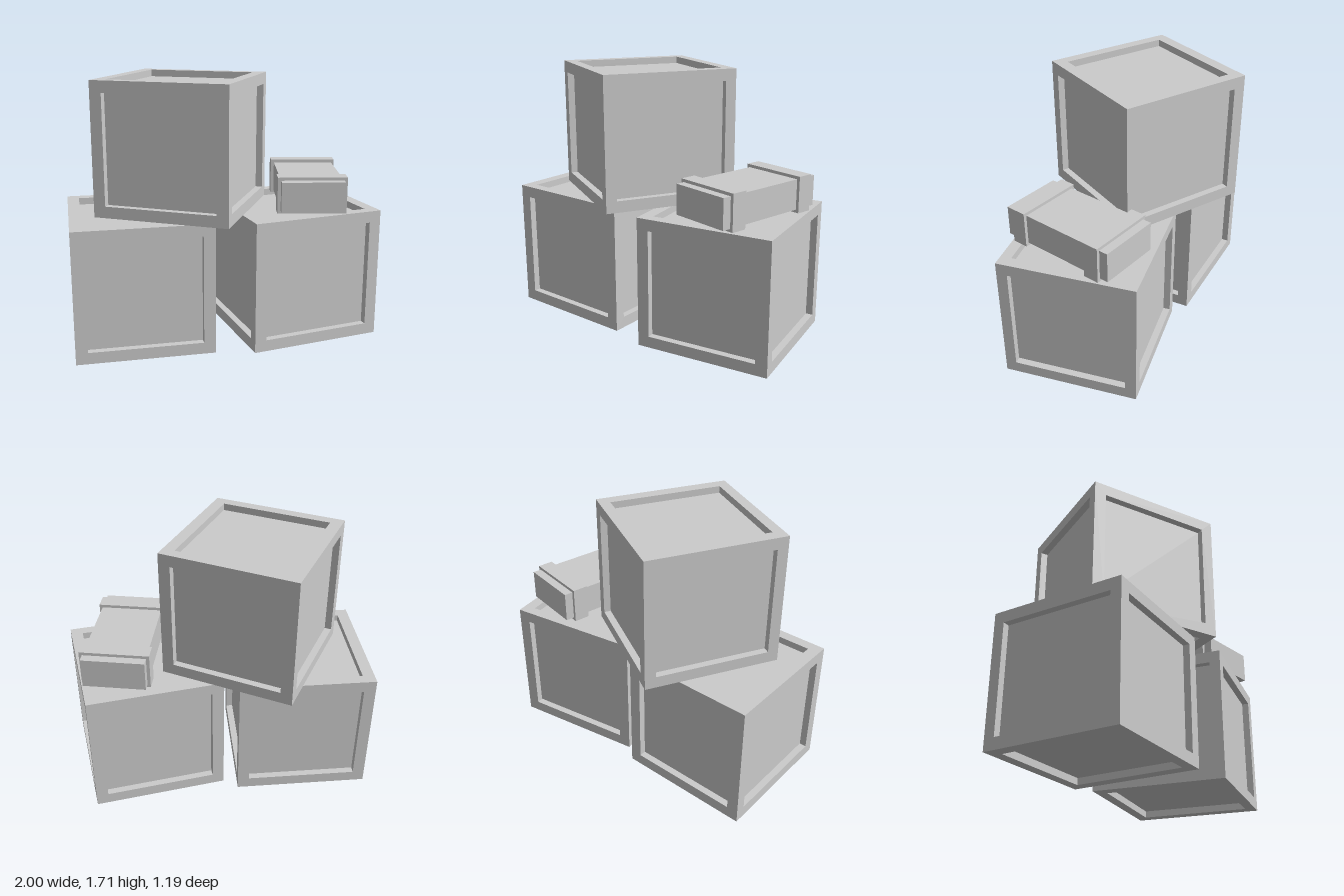
import * as THREE from 'three';

const material = new THREE.MeshStandardMaterial({ color: 0xcccccc, flatShading: true });
const BORDER = [0.077, 0.075, 0.07]; // frame width along x, y, z
const RECESS = 0.045;

// Closed crate: every face is a flat frame around a sunken panel.
function crateGeometry(size) {
  const half = size.map((s) => s / 2);
  const positions = [];
  const quad = (a, b, c, d) => positions.push(...a, ...b, ...c, ...a, ...c, ...d);

  for (let axis = 0; axis < 3; axis++) {
    const u = (axis + 1) % 3, v = (axis + 2) % 3;
    for (const side of [1, -1]) {
      // Four corners, counter-clockwise seen from outside
      const loop = (inset, depth) => [[-1, -1], [1, -1], [1, 1], [-1, 1]].map(([cu, cv]) => {
        const p = [0, 0, 0];
        p[axis] = side * (half[axis] - depth);
        p[u] = side * cu * (half[u] - inset * BORDER[u]);
        p[v] = cv * (half[v] - inset * BORDER[v]);
        return p;
      });
      const loops = [loop(0, 0), loop(1, 0), loop(1, RECESS)];
      for (let k = 0; k < 2; k++) {
        for (let i = 0; i < 4; i++) {
          const j = (i + 1) % 4;
          quad(loops[k][i], loops[k][j], loops[k + 1][j], loops[k + 1][i]);
        }
      }
      quad(...loops[2]);
    }
  }
  const geometry = new THREE.BufferGeometry();
  geometry.setAttribute('position', new THREE.Float32BufferAttribute(positions, 3));
  geometry.computeVertexNormals();
  return geometry;
}

function addMesh(parent, name, geometry, x, y, z, turn = 0) {
  const mesh = new THREE.Mesh(geometry, material);
  mesh.name = name;
  mesh.position.set(x, y, z);
  mesh.rotation.y = turn;
  parent.add(mesh);
}

export function createModel() {
  const model = new THREE.Group();
  model.name = 'crateStack';

  // Two crates on the ground, one stacked on top
  const h = 0.855;
  const crate = crateGeometry([0.88, h, 0.877]);
  addMesh(model, 'lowerRightCrate', crate, -0.555, h / 2, 0.035, 0.0125);
  addMesh(model, 'lowerLeftCrate', crate, 0.485, h / 2, 0.0125, 0.183);
  addMesh(model, 'upperCrate', crate, -0.2375, h * 1.5, -0.0025, -0.491);

  // Long case with two raised bands, lying on the lower left crate
  const longCase = new THREE.Group();
  longCase.name = 'longCase';
  longCase.position.set(0.595, 0.974, 0.025);
  longCase.rotation.y = -0.18;
  addMesh(longCase, 'caseBody', new THREE.BoxGeometry(0.402, 0.195, 0.787), 0, 0, 0);
  const band = new THREE.BoxGeometry(0.443, 0.234, 0.103);
  for (const s of [1, -1]) {
    addMesh(longCase, s > 0 ? 'frontBand' : 'backBand', band, 0, 0, s * 0.285);
  }
  model.add(longCase);

  return model;
}
